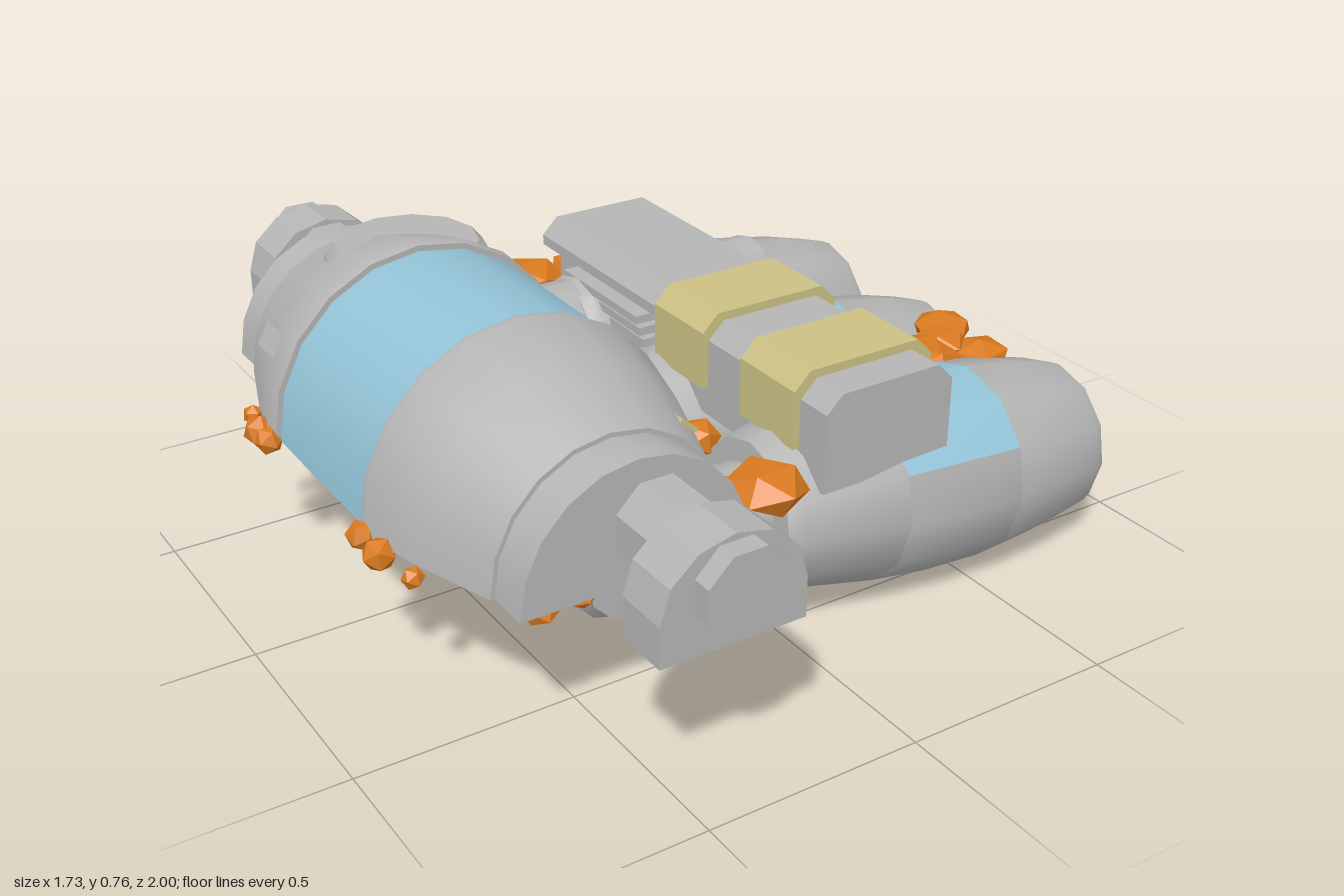
import * as THREE from 'three';
import { toCreasedNormals } from 'three/addons/utils/BufferGeometryUtils.js';

const mat = (name, color, extra = {}) => {
  const m = new THREE.MeshStandardMaterial({ color, ...extra });
  m.name = name;
  return m;
};

export function createModel() {
  const root = new THREE.Group();
  root.name = 'spacecraft';
  const grey = mat('hull grey', 0xb5b5b5, { side: THREE.DoubleSide });
  const blue = mat('panel blue', 0x93c3d6, { side: THREE.DoubleSide });
  const yellow = mat('band yellow', 0xcbc184);
  const orange = mat('crystal orange', 0xd9791f, { flatShading: true });

  const add = (parent, name, geo, material, x = 0, y = 0, z = 0) => {
    const m = new THREE.Mesh(geo, material);
    m.name = name;
    m.position.set(x, y, z);
    parent.add(m);
    return m;
  };
  // Turned solid from [position, radius] pairs in ascending order, along x or z
  const turned = (pts, axis, segs = 12, start = 0, len = Math.PI * 2) => {
    const g = new THREE.LatheGeometry(pts.map(([t, r]) => new THREE.Vector2(r, t)), segs, start, len);
    if (axis === 'x') g.rotateZ(-Math.PI / 2);
    else if (axis === 'z') g.rotateX(Math.PI / 2);
    return toCreasedNormals(g, 0.6);
  };
  // Outline in x,y extruded along z between z0 and z1
  const prism = (pts, z0, z1) => {
    const s = new THREE.Shape(pts.map(([x, y]) => new THREE.Vector2(x, y)));
    return new THREE.ExtrudeGeometry(s, { depth: z1 - z0, bevelEnabled: false }).translate(0, 0, z0);
  };
  const flip = (pts) => pts.map(([t, r]) => [-t, r]).reverse();

  // Main hull: an open-bottomed half barrel
  const hull = new THREE.Group();
  hull.name = 'hull';
  hull.position.set(-0.458, 0.37, 0);
  hull.scale.y = 1.04;
  root.add(hull);
  const half = (pts) => turned(pts, 'z', 10, Math.PI / 2, Math.PI);
  const endProfile = [[0.22, 0.357], [0.22, 0.37], [0.24, 0.374], [0.4, 0.335], [0.59, 0.272],
    [0.59, 0.262], [0.69, 0.262], [0.69, 0]];
  add(hull, 'hullFront', half(endProfile), grey);
  add(hull, 'hullBack', half(flip(endProfile)), grey);
  add(hull, 'hullBluePanel', half([[-0.22, 0.357], [0, 0.359], [0.22, 0.357]]), blue);

  // Axle ends with arched collars
  const arch = [[-0.163, 0.37], [0.163, 0.37]];
  for (let i = 0; i <= 6; i++) {
    const a = (i / 6) * Math.PI;
    arch.push([0.163 * Math.cos(a), 0.46 + 0.145 * Math.sin(a)]);
  }
  for (const s of [-1, 1]) {
    const shaft = new THREE.CylinderGeometry(0.097, 0.097, 0.34, 8).rotateY(Math.PI / 8).rotateX(Math.PI / 2);
    add(root, 'axleEnd', toCreasedNormals(shaft, 0.5), grey, -0.42, 0.5, s * 0.83);
    const z0 = s > 0 ? 0.83 : -0.955;
    add(root, 'axleCollar', prism(arch, z0, z0 + 0.125), grey, -0.42);
  }

  // Ribbed pipe below the hull
  const ribs = [[-0.16, 0]];
  for (let i = 0; i < 6; i++) {
    const z = -0.16 + i * 0.13;
    ribs.push([z, 0.115], [z + 0.03, 0.14], [z + 0.08, 0.14], [z + 0.11, 0.115]);
  }
  ribs.push([0.62, 0.115], [0.62, 0]);
  add(root, 'ribbedPipe', turned(ribs, 'z'), grey, -0.42, 0.355, 0);

  // Vertical turret passing through the rear of the hull
  const turret = [[0.27, 0], [0.27, 0.22], [0.45, 0.205], [0.68, 0.19], [0.71, 0.165], [0.71, 0]];
  add(root, 'turret', turned(turret, 'y'), grey, -0.42, 0, -0.36);

  // Small hull fittings
  const vent = add(root, 'hullVent', new THREE.BoxGeometry(0.03, 0.06, 0.1), grey, -0.75, 0.54, -0.36);
  vent.rotation.z = -0.5;
  const marker = add(root, 'hullMarker', new THREE.BoxGeometry(0.05, 0.009, 0.03), yellow, -0.235, 0.575, 0.51);
  marker.rotation.z = -0.7;

  // Three engines, nose slightly down, each with a blue patch on top
  for (const [z, dx] of [[-0.445, 0], [0, -0.03], [0.445, 0]]) {
    const engine = new THREE.Group();
    engine.name = 'engine';
    engine.position.set(0.4 + dx, 0.243, z);
    engine.rotation.z = -0.07;
    root.add(engine);
    const mid = [[-0.15, 0.218], [0, 0.23], [0.16, 0.23]];
    const patchStart = Math.PI * 1.5 - Math.PI / 3, patchLen = Math.PI * 2 / 3;
    add(engine, 'engineRear', turned([[-0.63, 0], [-0.63, 0.115], [-0.44, 0.115], [-0.44, 0.168],
      [-0.4, 0.18], [-0.15, 0.218]], 'x'), grey);
    add(engine, 'engineMiddle', turned(mid, 'x', 8, patchStart + patchLen, Math.PI * 2 - patchLen), grey);
    add(engine, 'engineBluePatch', turned(mid, 'x', 4, patchStart, patchLen), blue);
    add(engine, 'engineFront', turned([[0.16, 0.23], [0.32, 0.212], [0.43, 0.19], [0.455, 0.18], [0.455, 0]], 'x'), grey);
  }

  // Long box over the engines, with two bands
  const outline = (w, bottom, top, cut) => [[-w, bottom], [w, bottom], [w, top - cut], [w - cut, top],
    [-w + cut, top], [-w, top - cut]];
  add(root, 'boxFront', prism(outline(0.167, 0.37, 0.595, 0.04), -0.03, 0.61), grey, 0.213);
  add(root, 'boxBack', prism(outline(0.167, 0.53, 0.595, 0.04), -0.56, -0.03), grey, 0.213);
  add(root, 'boxBackCore', new THREE.BoxGeometry(0.27, 0.16, 0.5), grey, 0.213, 0.45, -0.28);
  for (const z0 of [-0.015, 0.325])
    add(root, 'boxBand', prism(outline(0.183, 0.44, 0.615, 0.04), z0, z0 + 0.195), yellow, 0.213);

  // Louvres and cross pipe under the back of the box
  for (let i = 0; i < 3; i++)
    add(root, 'louvre', new THREE.BoxGeometry(0.4 - i * 0.02, 0.02, 0.33), grey, 0.213, 0.515 - i * 0.032, -0.235);
  add(root, 'crossPipe', turned([[-0.315, 0], [-0.315, 0.105], [0.315, 0.105], [0.315, 0]], 'x'),
    grey, 0.213, 0.415, -0.34);
  add(root, 'crossPipeCollar', turned([[-0.23, 0], [-0.23, 0.13], [-0.2, 0.14], [0.2, 0.14], [0.23, 0.13], [0.23, 0]], 'x'),
    grey, 0.213, 0.385, -0.34);

  // Crystal lumps: [x, y, z, radius, flattening]
  const lumps = [
    [0.04, 0.41, -0.625, 0.1, 0.55], [0.2, 0.4, -0.635, 0.09, 0.55],
    [0.58, 0.415, 0.27, 0.105, 0.4], [0.73, 0.42, 0.18, 0.075, 0.5], [0.735, 0.4, 0.31, 0.075, 0.5],
    [0.67, 0.42, 0.24, 0.07, 0.5], [0.41, 0.41, 0.18, 0.08, 0.6], [0.4, 0.41, 0.08, 0.06, 0.6],
    [0.55, 0.39, -0.215, 0.045, 1], [0.52, 0.39, -0.25, 0.03, 1],
    [-0.07, 0.405, 0.565, 0.095, 0.6], [-0.14, 0.38, 0.5, 0.05, 0.8],
    [-0.04, 0.375, 0.265, 0.055, 0.8], [-0.08, 0.37, 0.22, 0.04, 0.9],
    [-0.65, 0.35, 0.64, 0.04, 0.8], [-0.56, 0.35, 0.64, 0.032, 0.8],
    [-0.34, 0.35, 0.63, 0.06, 0.5], [-0.19, 0.35, 0.63, 0.035, 0.9], [-0.14, 0.36, 0.63, 0.022, 1],
  ];
  for (const s of [-1, 1])
    lumps.push([-0.835, 0.37, s * 0.24, 0.034, 1], [-0.83, 0.36, s * 0.31, 0.038, 1], [-0.805, 0.35, s * 0.41, 0.025, 1]);
  lumps.push([-0.18, 0.36, -0.64, 0.03, 1], [-0.14, 0.37, -0.655, 0.018, 1]);
  lumps.forEach(([x, y, z, r, f], i) => {
    const g = new THREE.IcosahedronGeometry(r, 0).rotateX(i * 1.3).rotateY(i * 2.1).scale(1, f, 1);
    add(root, 'crystal', g, orange, x, y, z);
  });

  return root;
}
